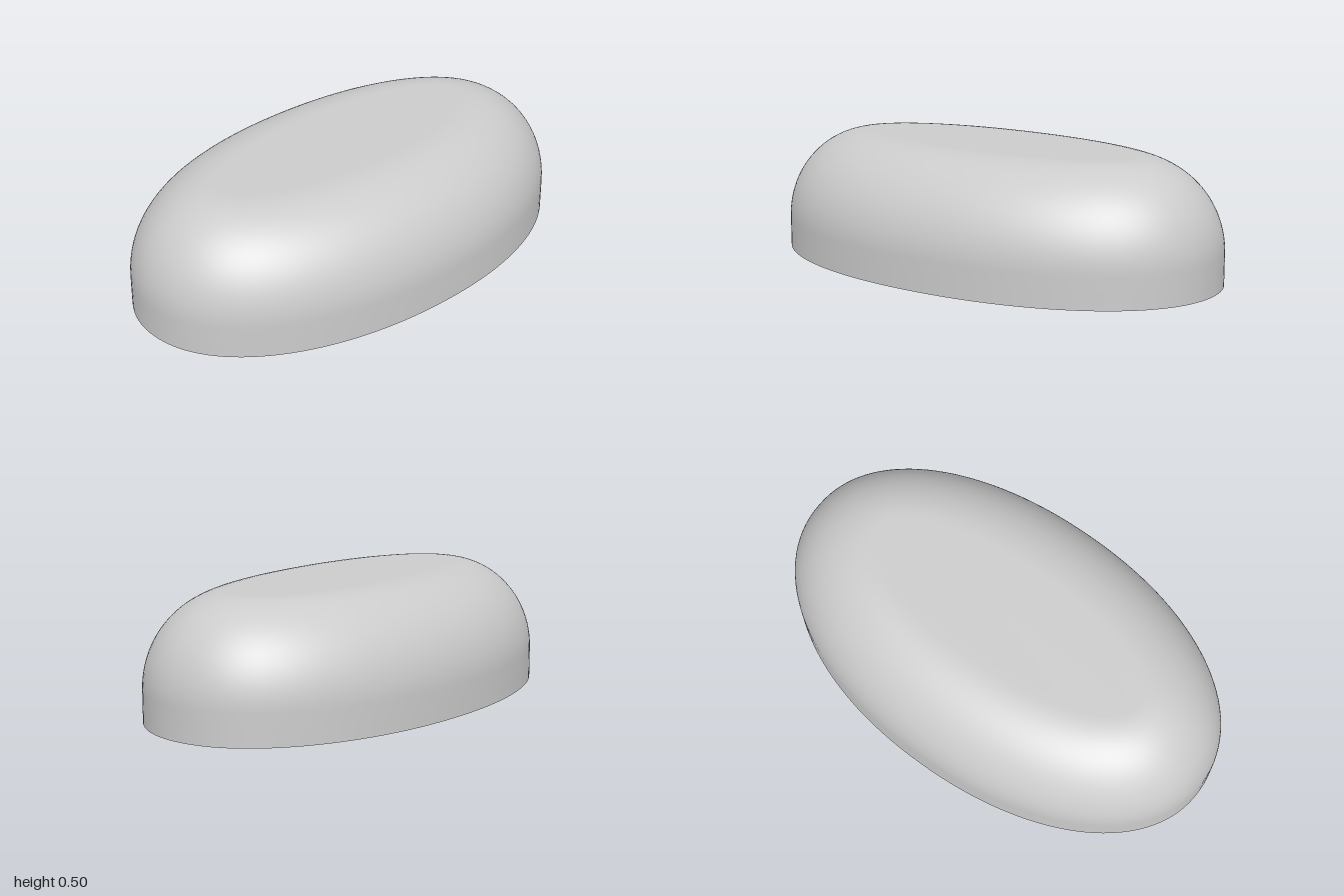
import * as THREE from 'three';

const SEGMENTS = 128;
const HALF_X = 0.59, HALF_Z = 1, HEIGHT = 0.5;
const FILLET_X = 0.36, FILLET_Y = 0.37; // rounding of the top edge
const WALL = 0.25, CAVITY = 0.3; // rim width and hollow depth

// Slightly blunt-ended oval ring, inset from the outer outline and scaled about its middle
const ring = (inset, y, scale = 1) => ({ x: (HALF_X - inset) * scale, z: (HALF_Z - inset) * scale, y });

// Skin a list of oval rings; wrapping indices keep the seam smooth
function loft(rings) {
  const positions = [], indices = [];
  const blunt = (v) => Math.sign(v) * Math.pow(Math.abs(v), 2 / 2.1);
  rings.forEach((r, i) => {
    for (let j = 0; j < SEGMENTS; j++) {
      const t = (j / SEGMENTS) * Math.PI * 2;
      positions.push(r.x * blunt(Math.cos(t)), r.y, r.z * blunt(Math.sin(t)));
      if (i === rings.length - 1) continue;
      const a = i * SEGMENTS + j, b = i * SEGMENTS + (j + 1) % SEGMENTS;
      const c = a + SEGMENTS, d = b + SEGMENTS;
      if (r.x > 0) indices.push(a, c, b);
      if (rings[i + 1].x > 0) indices.push(b, c, d);
      else if (r.x === 0) indices.push(b, c, d);
    }
  });
  const geometry = new THREE.BufferGeometry();
  geometry.setAttribute('position', new THREE.Float32BufferAttribute(positions, 3));
  geometry.setIndex(indices);
  geometry.computeVertexNormals();
  return geometry;
}

export function createModel() {
  const group = new THREE.Group();
  group.name = 'hollowOvalDome';
  const material = new THREE.MeshStandardMaterial({ color: 0xcccccc });
  const add = (name, rings) => {
    const mesh = new THREE.Mesh(loft(rings), material);
    mesh.name = name;
    group.add(mesh);
  };

  // Outer skin: upright side, rounded shoulder, flat top
  const shell = [ring(0, 0), ring(0, 0.07)];
  const steps = 24;
  for (let i = 0; i <= steps; i++) {
    const a = (i / steps) * Math.PI / 2;
    shell.push(ring(FILLET_X * (1 - Math.cos(a)), HEIGHT - FILLET_Y * (1 - Math.sin(a))));
  }
  shell.push(ring(FILLET_X, HEIGHT, 0.9), ring(FILLET_X, HEIGHT, 0));
  add('outerShell', shell);

  // Flat rim it stands on
  add('bottomRim', [ring(WALL, 0), ring(0, 0)]);

  // Hollow underneath
  add('cavityWall', [ring(WALL, CAVITY), ring(WALL, 0)]);
  add('cavityCeiling', [ring(WALL, CAVITY, 0), ring(WALL, CAVITY)]);

  return group;
}
